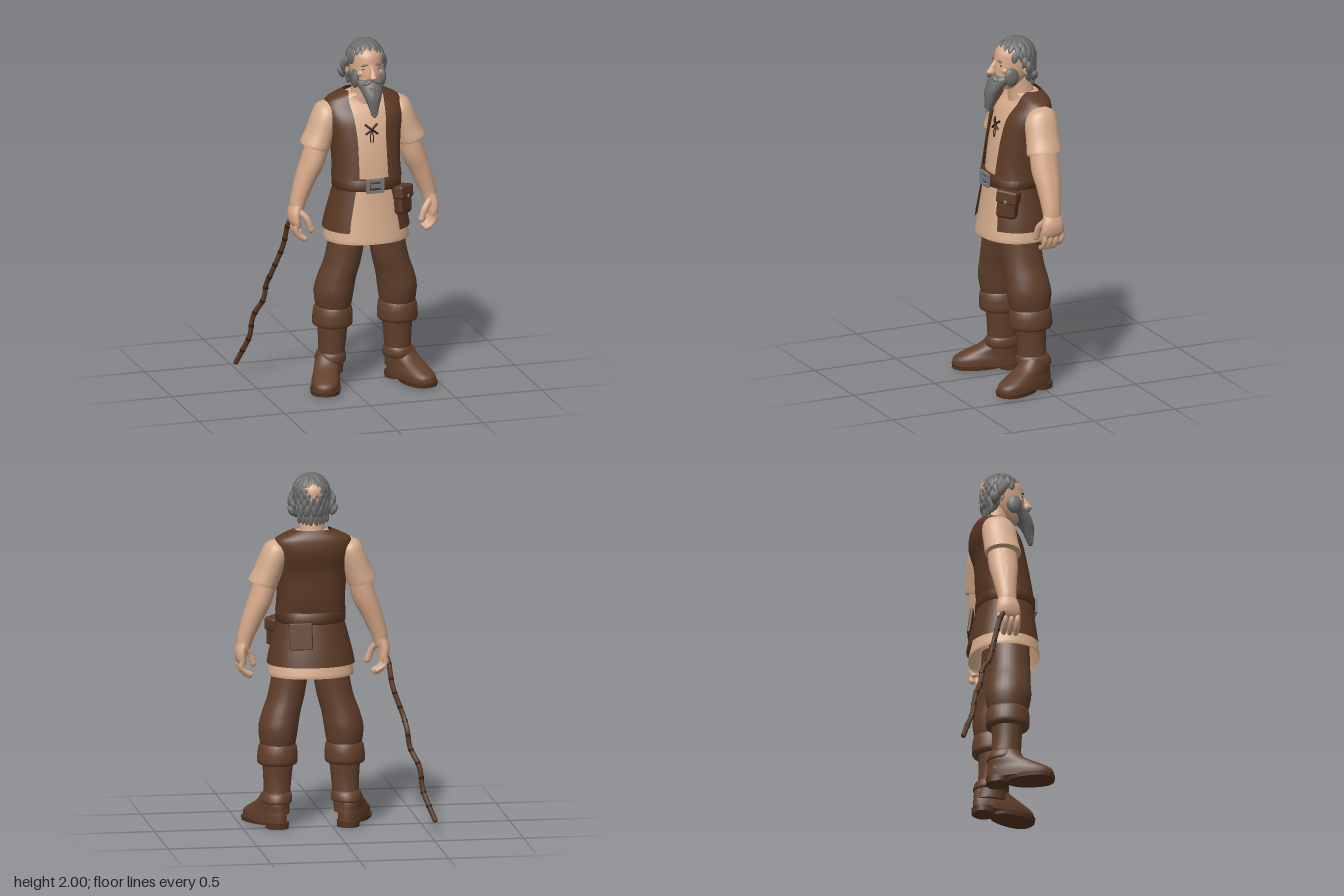
import * as THREE from 'three';
import { mergeGeometries, toCreasedNormals } from 'three/addons/utils/BufferGeometryUtils.js';
import { RoundedBoxGeometry } from 'three/addons/geometries/RoundedBoxGeometry.js';

const mat = (name, color, side = THREE.FrontSide) => {
  const m = new THREE.MeshStandardMaterial({ color, side });
  m.name = name;
  return m;
};

// Smoothly resample a list of cross-sections
function smoothRings(rings, steps) {
  const at = i => rings[Math.max(0, Math.min(rings.length - 1, i))];
  const out = [];
  for (let i = 0; i < rings.length - 1; i++)
    for (let s = 0; s < steps; s++) {
      const t = s / steps;
      out.push(rings[i].map((b, k) => {
        const a = at(i - 1)[k], c = at(i + 1)[k], d = at(i + 2)[k];
        return b + 0.5 * t * (c - a + t * (2 * a - 5 * b + 4 * c - d + t * (3 * (b - c) + d - a)));
      }));
    }
  out.push(rings[rings.length - 1]);
  return out;
}

// Skin over horizontal sections [y, cx, cz, rx, rz, openHalfWidth], lowest first
function loft(rings, { segs = 28, steps = 4, p = 1, tilt = 0, cap = true, open = false, crease = 0.9 } = {}) {
  const rows = smoothRings(rings, steps);
  if (cap && !open) {
    const end = r => [r[0], r[1], r[2], 1e-4, 1e-4];
    rows.unshift(end(rows[0]));
    rows.push(end(rows[rows.length - 1]));
  }
  const pos = [], idx = [];
  const pw = v => Math.sign(v) * Math.abs(v) ** p;
  rows.forEach(([y, cx, cz, rx, rz, w]) => {
    const a0 = open ? Math.asin(Math.min(0.99, w / rx) ** (1 / p)) : 0;
    for (let j = 0; j <= segs; j++) {
      const a = a0 + (j % segs || !open ? (j % segs) / segs : j / segs) * (Math.PI * 2 - 2 * a0);
      const dx = rx * pw(Math.sin(a));
      pos.push(cx + dx, y + tilt * dx, cz + rz * pw(Math.cos(a)));
    }
  });
  for (let i = 0; i < rows.length - 1; i++)
    for (let j = 0; j < segs; j++) {
      const a = i * (segs + 1) + j, d = a + segs + 1;
      idx.push(a, a + 1, d + 1, a, d + 1, d);
    }
  const g = new THREE.BufferGeometry();
  g.setAttribute('position', new THREE.Float32BufferAttribute(pos, 3));
  g.setIndex(idx);
  return toCreasedNormals(g, crease);
}

const V = (x, y, z) => new THREE.Vector3(x, y, z);
const tube = (pts, r, n = 12, sides = 7) =>
  new THREE.TubeGeometry(new THREE.CatmullRomCurve3(pts.map(q => V(...q))), n, r, sides);

function ball(x, y, z, sx, sy, sz, rz = 0, n = 12) {
  return new THREE.SphereGeometry(1, n, Math.max(6, n - 4)).scale(sx, sy, sz).rotateZ(rz).translate(x, y, z);
}

export function createModel() {
  const M = {
    skin: mat('skin', 0xd6a888), tunic: mat('tunic cloth', 0xd4ab8b, THREE.DoubleSide),
    vest: mat('vest leather', 0x5a3824, THREE.DoubleSide), pants: mat('trouser cloth', 0x5f3e2a),
    boot: mat('boot leather', 0x613f2b), belt: mat('belt leather', 0x54331f),
    hair: mat('grey hair', 0x6b6b6a), metal: mat('metal', 0x767b80),
    dark: mat('dark brown', 0x2f1c12), stick: mat('stick wood', 0x58361f),
  };
  const model = new THREE.Group(), body = new THREE.Group();
  body.name = 'figure';
  body.position.x = 0.11;
  model.add(body);
  const add = (name, geo, m, parent = body) => {
    const mesh = new THREE.Mesh(geo, m);
    mesh.name = name;
    parent.add(mesh);
    return mesh;
  };

  // Tunic: chest and flared skirt
  add('tunicChest', loft([[1.14, 0, 0.078, 0.175, 0.14], [1.3, 0, 0.066, 0.175, 0.138], [1.45, 0, 0.047, 0.185, 0.128],
    [1.58, 0, 0.012, 0.208, 0.115], [1.635, 0, -0.006, 0.195, 0.09], [1.66, 0, -0.005, 0.15, 0.08],
    [1.685, 0, 0.005, 0.085, 0.075]], { segs: 40, p: 0.85 }), M.tunic);
  add('tunicSkirt', loft([[0.86, 0, 0.072, 0.24, 0.197], [0.88, 0, 0.072, 0.238, 0.195], [1.0, 0, 0.075, 0.214, 0.173],
    [1.18, 0, 0.078, 0.176, 0.147]], { segs: 40, p: 0.92, cap: false }), M.tunic);
  // Open vest and the leather apron round the hips
  add('vest', loft([[1.215, 0, 0.08, 0.196, 0.152, 0.085], [1.3, 0, 0.068, 0.19, 0.152, 0.083], [1.45, 0, 0.05, 0.2, 0.14, 0.083],
    [1.56, 0, 0.02, 0.22, 0.137, 0.092], [1.635, 0, -0.008, 0.215, 0.106, 0.1], [1.67, 0, -0.01, 0.165, 0.09, 0.1],
    [1.695, 0, -0.012, 0.105, 0.068, 0.09]], { segs: 44, p: 0.82, open: true }), M.vest);
  add('hipApron', loft([[0.925, 0, 0.068, 0.246, 0.203, 0.145], [1.0, 0, 0.07, 0.231, 0.19, 0.135],
    [1.175, 0, 0.078, 0.185, 0.155, 0.1]], { segs: 40, p: 0.92, open: true }), M.vest);
  const backFlap = add('backFlap', new RoundedBoxGeometry(0.13, 0.15, 0.018, 2, 0.006), M.vest);
  backFlap.position.set(0.08, 1.1, -0.1);
  backFlap.rotation.set(0.15, -0.25, 0);

  // Belt, buckle, neck lacing
  add('belt', loft([[1.16, 0, 0.078, 0.19, 0.16], [1.165, 0, 0.078, 0.194, 0.163], [1.22, 0, 0.078, 0.194, 0.163],
    [1.225, 0, 0.078, 0.19, 0.16]], { segs: 40, steps: 1, p: 0.9 }), M.belt);
  const buckle = new THREE.Group();
  buckle.name = 'buckle';
  buckle.position.set(0, 1.193, 0.245);
  body.add(buckle);
  for (const s of [-1, 1]) {
    add('buckleSide', new THREE.BoxGeometry(0.018, 0.08, 0.016).translate(s * 0.042, 0, 0), M.metal, buckle);
    add('buckleBar', new THREE.BoxGeometry(0.1, 0.014, 0.016).translate(0, s * 0.033, 0), M.metal, buckle);
    add('lace', tube([[-s * 0.036, 1.475, 0.178], [0, 1.502, 0.18], [s * 0.036, 1.53, 0.164]], 0.0065, 8), M.dark);
    add('laceEnd', tube([[0, 1.495, 0.176], [s * 0.01, 1.46, 0.184], [s * 0.006, 1.43, 0.188]], 0.003, 6), M.dark);
  }
  add('bucklePin', new THREE.BoxGeometry(0.055, 0.02, 0.014), M.metal, buckle);

  // Belt pouch
  const pouch = new THREE.Group();
  pouch.name = 'pouch';
  pouch.position.set(0.175, 1.085, 0.185);
  pouch.rotation.set(-0.12, 0.7, 0);
  body.add(pouch);
  add('pouchBag', new RoundedBoxGeometry(0.115, 0.155, 0.065, 3, 0.018), M.belt, pouch);
  add('pouchLid', new RoundedBoxGeometry(0.125, 0.075, 0.078, 3, 0.014).translate(0, 0.045, 0.003), M.vest, pouch);
  add('pouchStud', ball(0, 0.02, 0.043, 0.01, 0.01, 0.006), M.metal, pouch);

  // Limbs, mirrored by negating x centres
  for (const s of [1, -1]) {
    const side = s > 0 ? 'left' : 'right';
    const limb = (name, rings, m, opt = {}) =>
      add(side + name, loft(rings.map(([y, cx, ...r]) => [y, s * cx, ...r]), { ...opt, tilt: s * (opt.tilt || 0) }), m);
    limb('Sleeve', [[1.385, 0.282, 0.01, 0.078, 0.1], [1.4, 0.276, 0.01, 0.078, 0.102], [1.46, 0.25, 0.005, 0.074, 0.098],
      [1.55, 0.216, 0, 0.072, 0.095], [1.6, 0.2, -0.005, 0.06, 0.078], [1.63, 0.188, -0.005, 0.03, 0.04]], M.tunic, { tilt: 0.32 });
    limb('Forearm', [[1.03, 0.388, 0.015, 0.036, 0.052], [1.08, 0.378, 0.013, 0.043, 0.053], [1.2, 0.335, 0.01, 0.055, 0.068],
      [1.3, 0.292, 0.01, 0.063, 0.082], [1.42, 0.255, 0.008, 0.06, 0.08]], M.skin, { tilt: 0.3 });
    limb('Palm', [[0.935, 0.392, 0.018, 0.022, 0.06], [0.96, 0.4, 0.018, 0.03, 0.068], [1.01, 0.402, 0.016, 0.034, 0.064],
      [1.06, 0.386, 0.014, 0.036, 0.052]], M.skin);
    for (let i = 0; i < 4; i++) {
      const z = -0.035 + i * 0.034, d = i === 0 ? 0.015 : 0;
      add(side + 'Finger', mergeGeometries([tube([[s * 0.4, 0.965, z], [s * 0.405, 0.92, z], [s * 0.385, 0.885 + d, z],
        [s * 0.355, 0.868 + d, z]], 0.0155, 10), ball(s * 0.355, 0.868 + d, z, 0.0155, 0.0155, 0.0155, 0, 8)]), M.skin);
    }
    add(side + 'Thumb', mergeGeometries([tube([[s * 0.385, 1.03, 0.05], [s * 0.345, 0.985, 0.075], [s * 0.322, 0.925, 0.08]], 0.019, 8),
      ball(s * 0.322, 0.925, 0.08, 0.019, 0.022, 0.019, 0, 8)]), M.skin);

    limb('TrouserLeg', [[0.43, 0.187, 0.055, 0.085, 0.095], [0.48, 0.187, 0.057, 0.1, 0.116], [0.56, 0.184, 0.06, 0.11, 0.128],
      [0.64, 0.168, 0.066, 0.107, 0.122], [0.75, 0.135, 0.076, 0.102, 0.116], [0.95, 0.1, 0.08, 0.1, 0.113]], M.pants);
    limb('BootShaft', [[0.08, 0.197, 0.03, 0.07, 0.088], [0.2, 0.193, 0.045, 0.074, 0.083], [0.29, 0.19, 0.05, 0.08, 0.083],
      [0.4, 0.188, 0.052, 0.09, 0.09]], M.boot);
    limb('BootCuff', [[0.352, 0.19, 0.053, 0.09, 0.095], [0.36, 0.19, 0.053, 0.108, 0.118], [0.385, 0.19, 0.053, 0.113, 0.124],
      [0.455, 0.188, 0.055, 0.107, 0.12], [0.475, 0.188, 0.055, 0.092, 0.106]], M.boot, { steps: 2 });
    limb('AnkleBand', [[0.14, 0.197, 0.035, 0.08, 0.096], [0.15, 0.197, 0.037, 0.086, 0.102], [0.185, 0.195, 0.042, 0.083, 0.096],
      [0.2, 0.194, 0.045, 0.075, 0.084]], M.boot, { steps: 2 });

    // Foot turned outward, broader at the toe
    const foot = new THREE.Group();
    foot.name = side + 'Foot';
    foot.position.set(s * 0.245, 0, 0.115);
    foot.rotation.y = s * 0.36;
    body.add(foot);
    const shoe = (name, rings, m, opt) => {
      const g = loft(rings, { p: 0.85, ...opt }), q = g.attributes.position;
      for (let i = 0; i < q.count; i++) q.setX(i, q.getX(i) * (1 + q.getZ(i) * 0.9));
      add(name, toCreasedNormals(g, 0.8), m, foot);
    };
    shoe('bootUpper', [[0.025, 0, 0, 0.076, 0.19], [0.065, 0, -0.002, 0.078, 0.187], [0.1, 0, -0.03, 0.073, 0.155],
      [0.14, 0, -0.07, 0.072, 0.11], [0.19, 0, -0.085, 0.06, 0.075]], M.boot);
    shoe('bootSole', [[0.008, 0, 0.06, 0.077, 0.132], [0.032, 0, 0.06, 0.081, 0.135]], M.belt, { steps: 1 });
    shoe('bootHeel', [[0, 0, -0.13, 0.07, 0.062], [0.035, 0, -0.13, 0.072, 0.064]], M.belt, { steps: 1 });
  }

  // Head and neck
  add('neck', loft([[1.6, 0, 0.01, 0.085, 0.08], [1.68, 0, 0.022, 0.07, 0.072], [1.8, 0, 0.035, 0.064, 0.07]]), M.skin);
  add('head', loft([[1.71, 0, 0.115, 0.04, 0.05], [1.75, 0, 0.095, 0.066, 0.088], [1.81, 0, 0.07, 0.085, 0.118],
    [1.87, 0, 0.058, 0.092, 0.122], [1.93, 0, 0.054, 0.088, 0.113], [1.98, 0, 0.052, 0.05, 0.06]]), M.skin);
  add('nose', loft([[1.797, 0, 0.195, 0.016, 0.02], [1.81, 0, 0.204, 0.021, 0.03], [1.835, 0, 0.194, 0.013, 0.023],
    [1.875, 0, 0.172, 0.009, 0.014]], { segs: 12 }), M.skin);
  for (const s of [1, -1]) {
    add('eye', ball(s * 0.036, 1.852, 0.163, 0.015, 0.006, 0.008, s * 0.08), M.dark);
    add('eyebrow', ball(s * 0.038, 1.876, 0.169, 0.024, 0.006, 0.01, -s * 0.15), M.hair);
    add('cheek', ball(s * 0.05, 1.825, 0.145, 0.025, 0.02, 0.022), M.skin);
    add('moustache', ball(s * 0.027, 1.782, 0.188, 0.034, 0.013, 0.026, -s * 0.45), M.hair);
    add('sideburn', ball(s * 0.078, 1.79, 0.115, 0.022, 0.055, 0.045), M.hair);
    add('ear', ball(s * 0.098, 1.83, 0.035, 0.014, 0.034, 0.022), M.skin);
  }
  // Beard
  add('beard', loft([[1.585, 0.004, 0.222, 0.008, 0.012], [1.63, 0.002, 0.216, 0.025, 0.024], [1.69, 0, 0.202, 0.046, 0.04],
    [1.74, 0, 0.168, 0.064, 0.058], [1.775, 0, 0.13, 0.08, 0.078], [1.79, 0, 0.11, 0.08, 0.08]], { segs: 24 }), M.hair);
  add('beardStrands', mergeGeometries([-2, -1, 0, 1, 2].map(i => tube([[i * 0.019, 1.755, 0.218 - i * i * 0.006],
    [i * 0.014, 1.69, 0.234 - i * i * 0.004], [i * 0.006, 1.6, 0.23]], 0.008, 10, 6))), M.hair);

  // Hair: overlapping locks laid over the skull, leaving the face clear
  const locks = [ball(0, 1.885, 0.03, 0.1, 0.105, 0.088, 0, 20), ball(0, 1.8, 0.0, 0.082, 0.085, 0.052, 0, 16)];
  const dummy = new THREE.Object3D();
  for (let row = 0; row < 9; row++) {
    const phi = 0.12 + row * 0.25, n = Math.max(5, Math.round(17 * Math.min(1, Math.sin(phi) + 0.1)));
    for (let k = 0; k < n; k++) {
      const a = ((k + (row % 2) / 2) / n) * Math.PI * 2 - Math.PI, front = Math.abs(a);
      if (phi > 0.95 && front < 0.95) continue;
      if (phi > 1.55 && front < 1.6) continue;
      const r = Math.sin(Math.min(phi, 1.5)), y = phi < 1.5 ? 0.108 * Math.cos(phi) : -0.13 * (phi - 1.5);
      const dir = V(Math.sin(a) * r / 0.1, Math.max(0, y) / 0.0117, Math.cos(a) * r / 0.122);
      dummy.position.set(0.099 * r * Math.sin(a), 1.882 + y, 0.052 + 0.106 * r * Math.cos(a));
      dummy.up.set(0, 1, 0.001);
      dummy.lookAt(dummy.position.clone().add(dir));
      dummy.rotateZ(0.25 * Math.sin(k * 2.3 + row));
      dummy.updateMatrix();
      locks.push(new THREE.SphereGeometry(1, 7, 6).scale(0.019, 0.036, 0.012).applyMatrix4(dummy.matrix));
    }
  }
  // Tufts round the ears and tails on the nape
  for (const s of [1, -1])
    for (let i = 0; i < 4; i++) {
      locks.push(ball(s * (0.108 + 0.012 * (i % 2)), 1.875 - i * 0.026, 0.045 - i * 0.016, 0.018, 0.034, 0.022, s * 0.25 * (1 - i), 8));
      locks.push(ball(s * (0.012 + i * 0.021), 1.755 + i * 0.005, -0.038 + i * 0.008, 0.016, 0.045, 0.014, s * 0.1, 7));
    }
  add('hair', mergeGeometries(locks), M.hair);

  // Crooked walking stick with dark knots
  const path = new THREE.CatmullRomCurve3([V(-0.405, 0.985, 0.01), V(-0.422, 0.93, -0.03), V(-0.44, 0.8, -0.065), V(-0.495, 0.63, -0.11),
    V(-0.51, 0.56, -0.15), V(-0.522, 0.47, -0.165), V(-0.57, 0.36, -0.205), V(-0.585, 0.24, -0.225), V(-0.615, 0.15, -0.26), V(-0.645, 0.075, -0.287)]);
  add('walkingStick', new THREE.TubeGeometry(path, 60, 0.0145, 8), M.stick);
  for (let i = 1; i < 12; i++) {
    const u = i / 12, ring = add('stickKnot', new THREE.CylinderGeometry(0.0155, 0.0165, 0.014, 8), M.dark);
    ring.position.copy(path.getPointAt(u));
    ring.quaternion.setFromUnitVectors(V(0, 1, 0), path.getTangentAt(u));
  }
  for (const u of [0, 1]) {
    const e = path.getPointAt(u);
    add('stickEnd', ball(e.x, e.y, e.z, 0.0145, 0.0145, 0.0145, 0, 8), M.stick);
  }
  return model;
}
